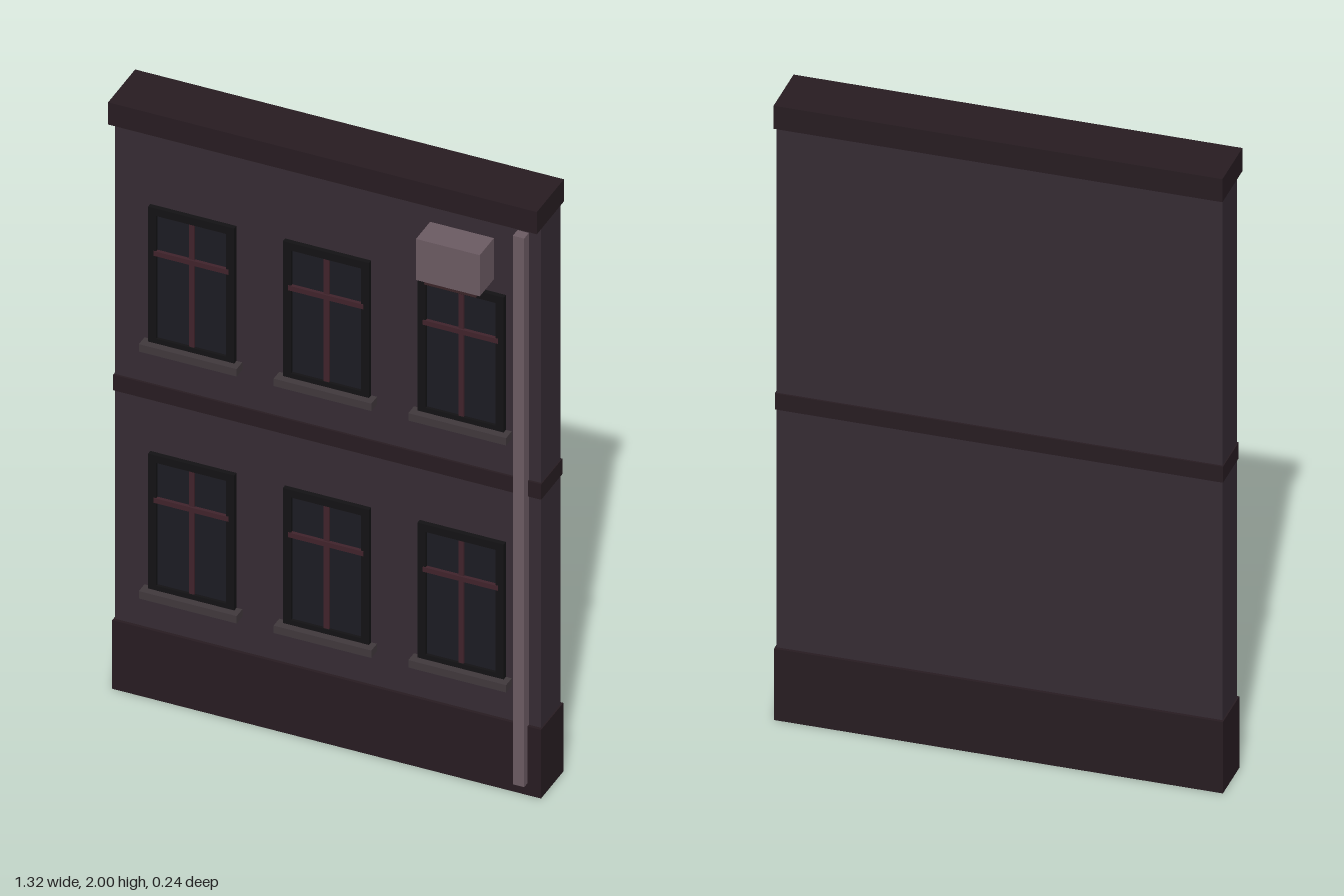
import * as THREE from 'three';

const mat = (color) => new THREE.MeshStandardMaterial({ color, flatShading: true });
const M = {
  wall: mat(0x352b33), trim: mat(0x271c21), frame: mat(0x131214), glass: mat(0x1c1b23),
  bar: mat(0x40232b), sill: mat(0x40383c), metal: mat(0x6b5a62), bracket: mat(0x3a2529),
};

// Box given by its lower and upper limits on each axis
function box(name, material, [x0, x1], [y0, y1], [z0, z1]) {
  const mesh = new THREE.Mesh(new THREE.BoxGeometry(x1 - x0, y1 - y0, z1 - z0), material);
  mesh.position.set((x0 + x1) / 2, (y0 + y1) / 2, (z0 + z1) / 2);
  mesh.name = name;
  return mesh;
}

// Window with its sill at the origin: frame ring, pane, glazing bars and sill
function createWindow() {
  const g = new THREE.Group();
  g.name = 'window';
  const w = 0.133, h = 0.465, t = 0.025;
  const outline = new THREE.Shape([[-w, 0], [w, 0], [w, h], [-w, h]].map((p) => new THREE.Vector2(...p)));
  outline.holes.push(new THREE.Path(
    [[-w + t, t], [-w + t, h - t], [w - t, h - t], [w - t, t]].map((p) => new THREE.Vector2(...p))));
  const frame = new THREE.Mesh(
    new THREE.ExtrudeGeometry(outline, { depth: 0.02, bevelEnabled: false }), M.frame);
  frame.position.z = 0.02;
  frame.name = 'windowFrame';
  g.add(
    frame,
    box('pane', M.glass, [-w + t, w - t], [t, h - t], [0.02, 0.031]),
    box('verticalBar', M.bar, [-0.008, 0.008], [t, h - t], [0.025, 0.037]),
    box('horizontalBar', M.bar, [-w + t - 0.008, w - t + 0.008], [0.305, 0.321], [0.025, 0.042]),
    box('sill', M.sill, [-0.151, 0.151], [-0.016, 0.009], [0.02, 0.063]),
  );
  return g;
}

export function createModel() {
  const model = new THREE.Group();
  model.name = 'facade';

  // Wall slab with its horizontal bands
  model.add(
    box('wall', M.wall, [-0.658, 0.658], [0.01, 1.98], [-0.105, 0.025]),
    box('plinth', M.trim, [-0.662, 0.662], [0, 0.232], [-0.115, 0.035]),
    box('floorBand', M.trim, [-0.661, 0.661], [1.008, 1.06], [-0.111, 0.032]),
    box('cornice', M.trim, [-0.662, 0.662], [1.925, 2], [-0.119, 0.063]),
  );

  // Two rows of three windows
  for (const y of [0.365, 1.2]) {
    for (const x of [-0.416, 0, 0.416]) {
      const win = createWindow();
      win.position.set(x, y, 0);
      model.add(win);
    }
  }

  // Drainpipe, cooling unit and its bracket
  model.add(
    box('drainpipe', M.metal, [0.585, 0.62], [0.04, 1.895], [0.022, 0.057]),
    box('coolingUnit', M.metal, [0.315, 0.512], [1.708, 1.847], [0.02, 0.12]),
    box('coolingUnitBracket', M.bracket, [0.333, 0.494], [1.69, 1.708], [0.02, 0.107]),
  );
  return model;
}
